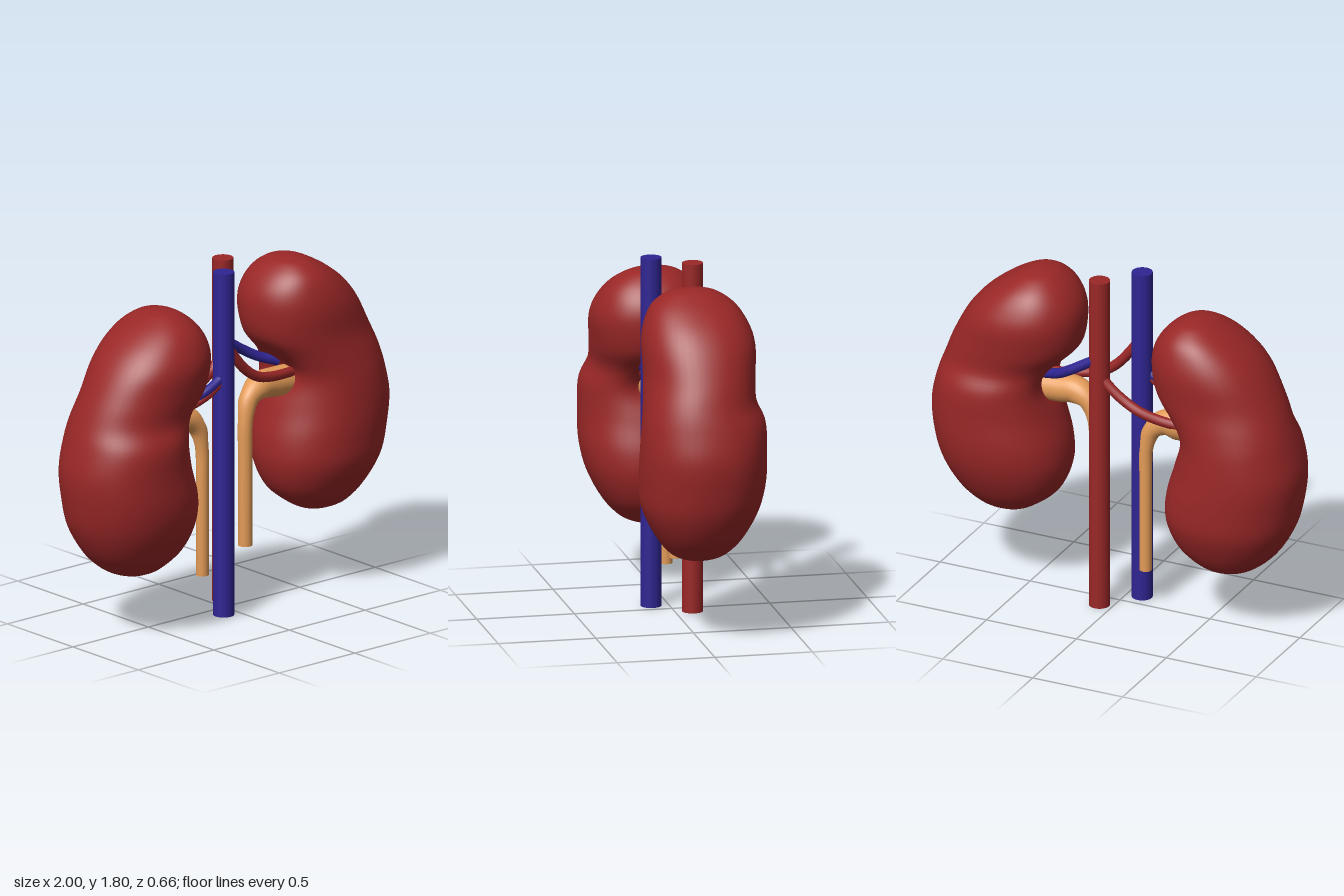
import * as THREE from 'three';

const mat = (name, color) => {
  const m = new THREE.MeshStandardMaterial({ color });
  m.name = name;
  return m;
};

// Bean body: horizontal sections [y, inner x, outer x, back z, front z]
const SECTIONS = [
  [0.30, -0.60, -0.60, 0, 0],
  [0.312, -0.52, -0.68, -0.075, 0.075],
  [0.35, -0.445, -0.77, -0.15, 0.15],
  [0.44, -0.34, -0.87, -0.22, 0.23],
  [0.58, -0.285, -0.95, -0.285, 0.30],
  [0.72, -0.29, -0.985, -0.30, 0.33],
  [0.88, -0.335, -1.0, -0.30, 0.33],
  [1.03, -0.355, -0.97, -0.29, 0.325],
  [1.14, -0.31, -0.935, -0.275, 0.285],
  [1.26, -0.225, -0.885, -0.26, 0.295],
  [1.40, -0.20, -0.81, -0.26, 0.305],
  [1.50, -0.215, -0.73, -0.24, 0.275],
  [1.58, -0.265, -0.63, -0.20, 0.22],
  [1.635, -0.33, -0.535, -0.13, 0.14],
  [1.654, -0.38, -0.485, -0.065, 0.07],
  [1.66, -0.43, -0.43, 0, 0],
];

function kidneyGeometry() {
  const rows = 72, cols = 48;
  const curve = (a, b) => new THREE.CatmullRomCurve3(
    SECTIONS.map((s) => new THREE.Vector3(s[a], s[0], s[b])), false, 'catmullrom', 0.5);
  const sides = curve(1, 2), depth = curve(3, 4);
  const pos = [], idx = [];
  const round = (v) => Math.sign(v) * Math.abs(v) ** 0.93;
  for (let i = 0; i <= rows; i++) {
    const s = sides.getPoint(i / rows), d = depth.getPoint(i / rows);
    const cx = (s.x + s.z) / 2, rx = (s.x - s.z) / 2;
    const cz = (d.x + d.z) / 2, rz = (d.z - d.x) / 2;
    for (let j = 0; j < cols; j++) {
      const a = (j / cols) * Math.PI * 2;
      let x = cx + rx * round(Math.cos(a));
      const z = cz + rz * round(Math.sin(a));
      // hollow on the inner side where the vessels enter
      if (Math.cos(a) > 0) {
        x -= 0.07 * Math.cos(a) * Math.exp(-(((s.y - 1.07) / 0.11) ** 2) - (z / 0.12) ** 2);
      }
      pos.push(x, s.y, z);
      if (i < rows) {
        const k = i * cols, n = (j + 1) % cols;
        const p = k + j, q = k + n, r = p + cols, t = q + cols;
        if (i > 0) idx.push(p, r, q);
        if (i === 0) idx.push(p, r, t);
        else if (i < rows - 1) idx.push(q, r, t);
      }
    }
  }
  const g = new THREE.BufferGeometry();
  g.setAttribute('position', new THREE.Float32BufferAttribute(pos, 3));
  g.setIndex(idx);
  g.computeVertexNormals();
  return g;
}

// Tube through points [x, y, z, radius], swelling and tapering along its length
function taperedTube(points, segments = 40, radial = 20) {
  const path = new THREE.CatmullRomCurve3(points.map((p) => new THREE.Vector3(p[0], p[1], p[2])));
  const g = new THREE.TubeGeometry(path, segments, 1, radial, false);
  const pos = g.attributes.position, v = new THREE.Vector3();
  for (let i = 0; i <= segments; i++) {
    const u = i / segments, c = path.getPointAt(u);
    const f = path.getUtoTmapping(u) * (points.length - 1);
    const k = Math.min(Math.floor(f), points.length - 2);
    const r = THREE.MathUtils.lerp(points[k][3], points[k + 1][3], THREE.MathUtils.smoothstep(f - k, 0, 1));
    for (let j = 0; j <= radial; j++) {
      const n = i * (radial + 1) + j;
      v.fromBufferAttribute(pos, n).sub(c).multiplyScalar(r).add(c);
      pos.setXYZ(n, v.x, v.y, v.z);
    }
  }
  return g;
}

export function createModel() {
  const red = mat('deep red', 0x9a2727);
  const blue = mat('vein blue', 0x2f2592);
  const tan = mat('duct tan', 0xe29a57);
  const model = new THREE.Group();
  const add = (name, geometry, material) => {
    const m = new THREE.Mesh(geometry, material);
    m.name = name;
    model.add(m);
    return m;
  };

  // Kidneys: the left one is the right one turned round and raised
  const bean = kidneyGeometry();
  add('rightKidney', bean, red);
  const left = add('leftKidney', bean, red);
  left.rotation.y = Math.PI;
  left.position.y = 0.105;

  // Main upright vessels
  const trunk = new THREE.CylinderGeometry(0.053, 0.053, 1.8, 28);
  add('mainVein', trunk, blue).position.set(-0.08, 0.9, 0.09);
  add('mainArtery', trunk, red).position.set(0.07, 0.9, -0.09);

  // Side branches into the kidneys
  const branch = (name, material, r, ...pts) =>
    add(name, taperedTube(pts.map((p) => [...p, r]), 28, 14), material);
  branch('leftFrontBranch', red, 0.026,
    [-0.06, 1.41, 0.09], [-0.01, 1.34, 0.09], [0.06, 1.26, 0.09], [0.14, 1.205, 0.09], [0.24, 1.18, 0.08], [0.4, 1.165, 0.05]);
  branch('rightBackBranch', red, 0.026,
    [0.07, 1.29, -0.1], [0.01, 1.225, -0.1], [-0.07, 1.165, -0.1], [-0.16, 1.12, -0.1], [-0.26, 1.085, -0.08], [-0.4, 1.06, -0.05]);
  branch('leftVeinBranch', blue, 0.026,
    [0.07, 1.37, -0.11], [0.13, 1.335, -0.11], [0.22, 1.28, -0.11], [0.3, 1.235, -0.09], [0.4, 1.2, -0.05]);
  branch('rightVeinBranch', blue, 0.024,
    [-0.08, 1.27, 0.1], [-0.13, 1.235, 0.1], [-0.2, 1.2, 0.1], [-0.28, 1.165, 0.08], [-0.4, 1.13, 0.05]);
  branch('rightFrontBranch', red, 0.022,
    [-0.08, 1.25, 0.095], [-0.13, 1.215, 0.1], [-0.2, 1.175, 0.1], [-0.28, 1.14, 0.085], [-0.4, 1.1, 0.05]);

  // Ducts: wide funnels at the kidneys narrowing to pipes, closed at the foot
  const duct = (name, pts) => {
    add(name, taperedTube(pts, 60, 24), tan);
    const [x, y, z, r] = pts[pts.length - 1];
    const cap = add(name + 'End', new THREE.CircleGeometry(r, 24), tan);
    cap.rotation.x = Math.PI / 2;
    cap.position.set(x, y, z);
  };
  duct('rightDuct', [
    [-0.45, 1.05, 0, 0.085], [-0.33, 1.05, 0, 0.085], [-0.24, 1.035, 0, 0.064], [-0.175, 0.975, 0, 0.046],
    [-0.147, 0.87, 0, 0.034], [-0.143, 0.7, 0, 0.032], [-0.143, 0.45, 0, 0.032], [-0.143, 0.2, 0, 0.032]]);
  duct('leftDuct', [
    [0.45, 1.11, 0, 0.078], [0.33, 1.115, 0, 0.076], [0.235, 1.115, 0, 0.07], [0.165, 1.06, 0, 0.05],
    [0.138, 0.95, 0.005, 0.038], [0.134, 0.75, 0.008, 0.036], [0.134, 0.5, 0.008, 0.036], [0.134, 0.3, 0.008, 0.036]]);

  return model;
}
